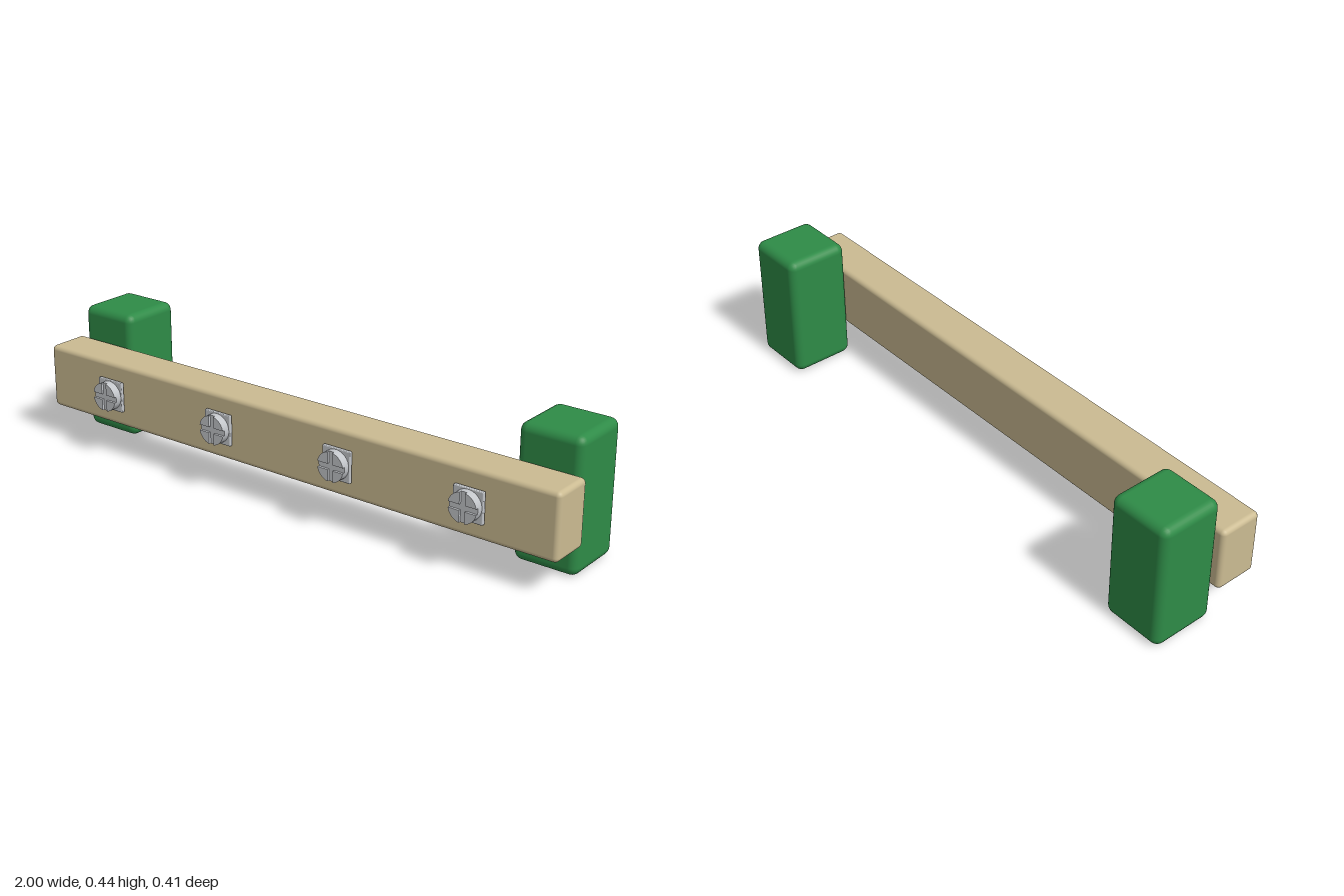
import * as THREE from 'three';
import { RoundedBoxGeometry } from 'three/addons/geometries/RoundedBoxGeometry.js';

const material = (name, color) => {
  const m = new THREE.MeshStandardMaterial({ color });
  m.name = name;
  return m;
};

export function createModel() {
  const green = material('green', 0x2e8b47);
  const wood = material('tan wood', 0xcbbb92);
  const steel = material('light steel', 0xc3c6ca);

  const model = new THREE.Group();
  model.name = 'railBarrier';

  const add = (parent, name, geometry, mat, x, y, z) => {
    const mesh = new THREE.Mesh(geometry, mat);
    mesh.name = name;
    mesh.position.set(x, y, z);
    parent.add(mesh);
    return mesh;
  };

  // Long beam across the front
  const midY = 0.219;
  add(model, 'beam', new RoundedBoxGeometry(2, 0.218, 0.146, 3, 0.016), wood, 0, midY, 0.087);

  // Two upright posts behind the beam
  const postGeometry = new RoundedBoxGeometry(0.216, 0.438, 0.219, 3, 0.028);
  for (const side of [-1, 1]) {
    add(model, side > 0 ? 'leftPost' : 'rightPost', postGeometry, green, side * 0.873, midY, -0.0955);
  }

  // Screw parts: square washer, round head, four raised quarters that leave a cross slot
  const radius = 0.049, slot = 0.0095, slotDepth = 0.008;
  const washer = new RoundedBoxGeometry(0.104, 0.104, 0.013, 2, 0.003);
  const head = new THREE.CylinderGeometry(radius, radius, 0.021, 32).rotateX(Math.PI / 2);
  const a = Math.asin(slot / radius);
  const quarterShape = new THREE.Shape();
  quarterShape.moveTo(slot, slot);
  quarterShape.lineTo(radius * Math.cos(a), slot);
  quarterShape.absarc(0, 0, radius, a, Math.PI / 2 - a, false);
  quarterShape.closePath();
  const quarter = new THREE.ExtrudeGeometry(quarterShape, {
    depth: slotDepth, bevelEnabled: false, curveSegments: 8,
  });

  for (const x of [-0.71, -0.237, 0.237, 0.71]) {
    const screw = new THREE.Group();
    screw.name = 'screw';
    screw.position.set(x, midY, 0);
    add(screw, 'washer', washer, steel, 0, 0, 0.1705);
    add(screw, 'head', head, steel, 0, 0, 0.1875);
    for (let i = 0; i < 4; i++) {
      add(screw, 'headQuarter', quarter, steel, 0, 0, 0.198).rotation.z = i * Math.PI / 2;
    }
    model.add(screw);
  }
  return model;
}
